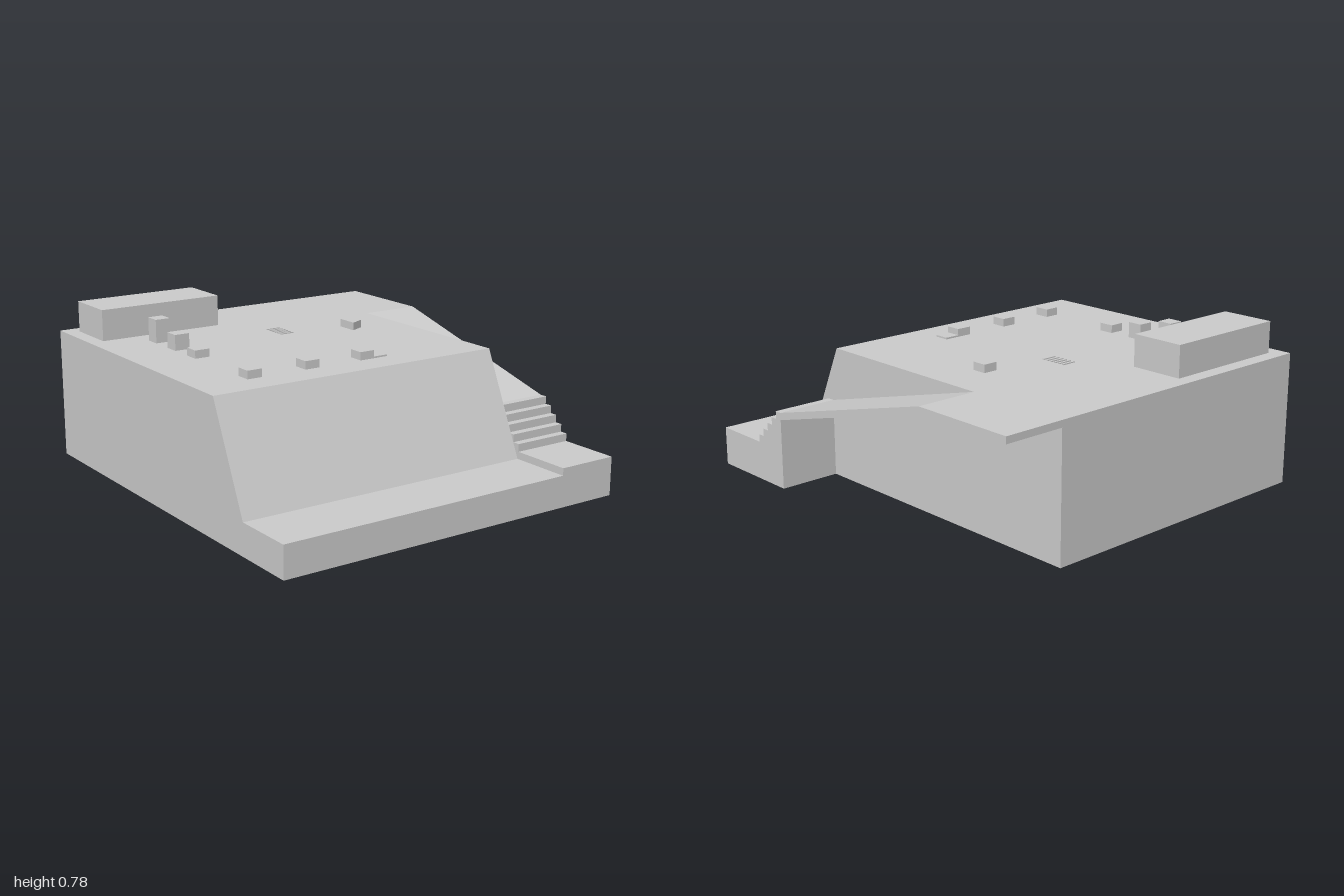
import * as THREE from 'three';

const TOP = 0.63; // deck height

export function createModel() {
  const group = new THREE.Group();
  const material = new THREE.MeshStandardMaterial({ color: 0xcccccc, flatShading: true });

  const add = (name, geometry) => {
    const mesh = new THREE.Mesh(geometry, material);
    mesh.name = name;
    group.add(mesh);
    return mesh;
  };

  const toShape = (points) => new THREE.Shape(points.map(([a, b]) => new THREE.Vector2(a, b)));

  // Side profile of [z, y] points swept from x0 to x1
  const sweep = (name, points, x0, x1) => {
    const geometry = new THREE.ExtrudeGeometry(toShape(points), { depth: x1 - x0, bevelEnabled: false });
    geometry.rotateY(-Math.PI / 2).translate(x1, 0, 0);
    return add(name, geometry);
  };

  // Box standing on the deck, placed by its footprint
  const deckBox = (name, x, z, width, height, depth) =>
    add(name, new THREE.BoxGeometry(width, height, depth).translate(x, TOP + height / 2, z));

  // Main block with sloped front wall and low front ledge
  sweep('mainBlock', [
    [-1, 0], [1, 0], [1, 0.15], [0.7, 0.15], [0.48, TOP], [-1, TOP],
  ], -0.89, 0.59);

  // Side strip: landing, five steps, thin ramp and overhanging deck
  const stair = [[0.52, 0], [1, 0], [1, 0.185]];
  for (let i = 0; i < 5; i++) {
    const z = 0.705 - i * 0.037;
    stair.push([z, 0.185 + i * 0.037], [z, 0.185 + (i + 1) * 0.037]);
  }
  stair.push([0.52, 0.37], [-0.48, TOP], [-1, TOP], [-1, 0.598], [-0.48, 0.598], [0.52, 0.335]);
  sweep('stairAndRamp', stair, 0.59, 0.89);

  // Long block at the back
  deckBox('rearBlock', -0.505, -0.8, 0.63, 0.15, 0.26);

  // Row of posts that grow taller towards the back
  [[-0.153, 0.038], [-0.338, 0.075], [-0.523, 0.113]].forEach(([z, height], i) =>
    deckBox(`post${i + 1}`, -0.597, z, 0.074, height, 0.074));

  // Row of low blocks near the front, the last with a thin plate beside it
  for (let i = 0; i < 3; i++) {
    deckBox(`frontBlock${i + 1}`, -0.597 + i * 0.297, 0.295, 0.074, 0.038, 0.074);
  }
  deckBox('thinPlate', 0.071, 0.295, 0.074, 0.008, 0.074);

  // Grille of thin bars
  for (let i = 0; i < 6; i++) {
    deckBox(`grilleBar${i + 1}`, -0.013, -0.437 + i * 0.0245, 0.074, 0.005, 0.009);
  }

  // Low block with a slanted front; footprint given as [x, -z]
  const wedge = new THREE.ExtrudeGeometry(
    toShape([[0.295, 0.19], [0.367, 0.225], [0.367, 0.298], [0.295, 0.298]]),
    { depth: 0.038, bevelEnabled: false });
  add('slantedBlock', wedge.rotateX(-Math.PI / 2).translate(0, TOP, 0));

  return group;
}
